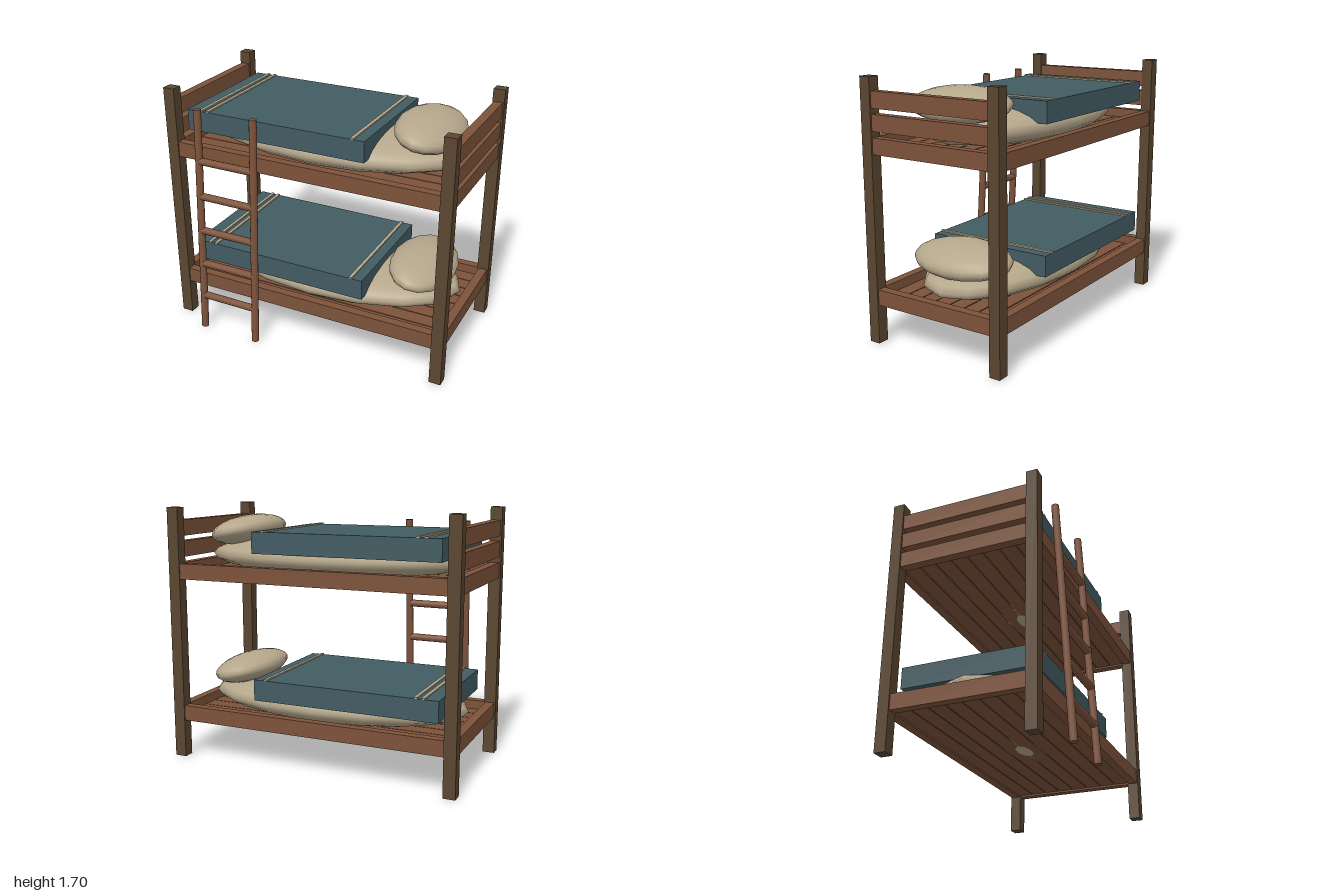
import * as THREE from 'three';

const mat = (name, color) => {
  const m = new THREE.MeshStandardMaterial({ color });
  m.name = name;
  return m;
};

export function createModel() {
  const darkWood = mat('dark wood', 0x5a4630);
  const wood = mat('brown wood', 0x7d533b);
  const teal = mat('teal blanket', 0x425c63);
  const linen = mat('beige linen', 0xb5a78b);

  const model = new THREE.Group();
  model.name = 'bunkBed';
  const midZ = -0.065; // centre line of the bed, behind the ladder

  const add = (parent, name, geometry, material, x, y, z) => {
    const mesh = new THREE.Mesh(geometry, material);
    mesh.name = name;
    mesh.position.set(x, y, z);
    parent.add(mesh);
    return mesh;
  };
  const box = (parent, name, material, w, h, d, x, y, z) =>
    add(parent, name, new THREE.BoxGeometry(w, h, d), material, x, y, z);
  const ellipsoid = (parent, name, rx, ry, rz, x, y, z) =>
    add(parent, name, new THREE.SphereGeometry(1, 16, 12).scale(rx, ry, rz), linen, x, y, z);

  // Corner posts
  for (const sx of [-1, 1])
    for (const sz of [-1, 1])
      box(model, 'post', darkWood, 0.08, 1.7, 0.075, sx * 0.96, 0.855, midZ + sz * 0.4675);

  // One bunk: frame, slats, mattress, blanket and pillow, measured from the frame's underside
  const bunk = (name, baseY) => {
    const g = new THREE.Group();
    g.name = name;
    g.position.y = baseY;
    model.add(g);
    for (const s of [-1, 1]) {
      box(g, 'sideRail', wood, 1.84, 0.103, 0.06, 0, 0.0515, midZ + s * 0.4675);
      box(g, 'endRail', wood, 0.06, 0.103, 0.86, s * 0.96, 0.0515, midZ);
    }
    for (let i = 0; i < 8; i++)
      box(g, 'slat', wood, 1.86, 0.03, 0.103, 0, 0.027, midZ + (i - 3.5) * 0.11);
    ellipsoid(g, 'mattress', 0.93, 0.14, 0.442, 0, 0.15, midZ);
    box(g, 'blanket', teal, 1.27, 0.14, 0.884, -0.23, 0.255, midZ);
    for (const x of [-0.765, -0.715, 0.323])
      box(g, 'blanketStripe', linen, 0.022, 0.009, 0.884, x, 0.3295, midZ);
    ellipsoid(g, 'pillow', 0.218, 0.1, 0.355, 0.67, 0.305, midZ).rotation.z = -0.2;
  };
  bunk('lowerBunk', 0.262);
  bunk('upperBunk', 1.233);

  // Head and foot boards above the upper bunk
  for (const s of [-1, 1])
    for (const y of [1.427, 1.567])
      box(model, 'endBoard', wood, 0.06, 0.105, 0.86, s * 0.96, y, midZ);

  // Leaning ladder
  const ladder = new THREE.Group();
  ladder.name = 'ladder';
  model.add(ladder);
  const lean = Math.atan2(0.091, 1.6);
  const zAt = (y) => 0.545 - y * Math.tan(lean);
  for (const x of [-0.735, -0.32])
    add(ladder, 'ladderRail', new THREE.CylinderGeometry(0.025, 0.025, 1.6, 12), wood,
      x, 0.803, zAt(0.803)).rotation.x = -lean;
  for (let i = 0; i < 5; i++) {
    const y = 0.255 + i * 0.249;
    add(ladder, 'rung', new THREE.CylinderGeometry(0.025, 0.025, 0.415, 12), wood,
      -0.5275, y, zAt(y)).rotation.z = Math.PI / 2;
  }

  return model;
}
